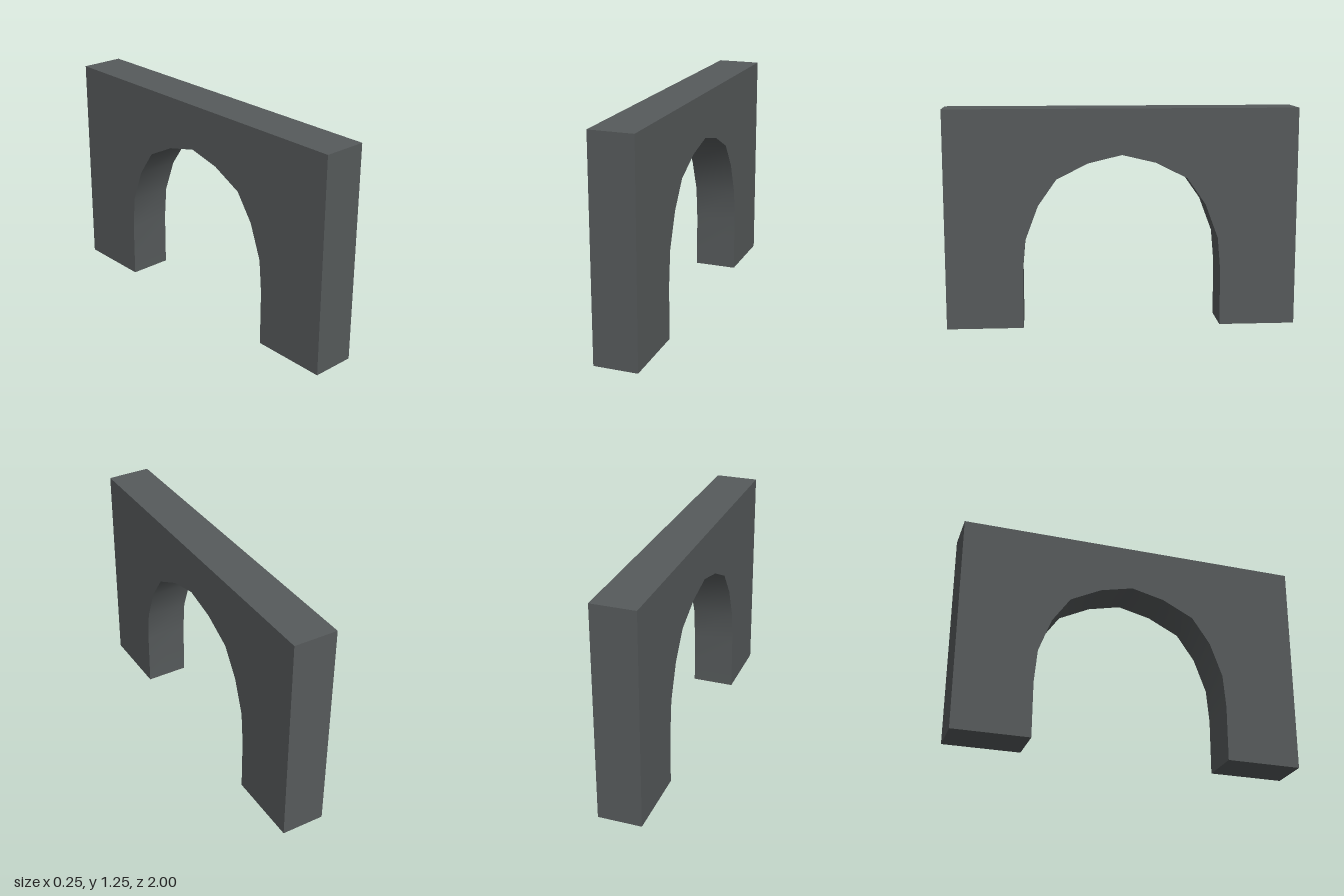
import * as THREE from 'three';
import { toCreasedNormals } from 'three/addons/utils/BufferGeometryUtils.js';

export function createModel() {
  const group = new THREE.Group();
  group.name = 'archway';

  const stone = new THREE.MeshStandardMaterial({ color: 0x565a5b });
  stone.name = 'dark grey stone';

  const halfLength = 1, height = 1.25, thickness = 0.25;

  // Half of the opening, from the foot up to the crown; mirrored for the other half
  const half = [[0.565, 0], [0.565, 0.32], [0.548, 0.51], [0.475, 0.705], [0.37, 0.855], [0.19, 0.945]];
  const mirrored = half.map(([x, y]) => [-x, y]).reverse();
  const outline = [
    [-halfLength, 0], ...half.map(([x, y]) => [-x, y]), [0, 0.99],
    ...mirrored.map(([x, y]) => [-x, y]),
    [halfLength, 0], [halfLength, height], [-halfLength, height],
  ].map(([x, y]) => new THREE.Vector2(x, y));

  // Wall slab, extruded through its thickness and turned to run along z
  const slab = new THREE.ExtrudeGeometry(new THREE.Shape(outline), { depth: thickness, bevelEnabled: false });
  slab.translate(0, 0, -thickness / 2);
  slab.rotateY(Math.PI / 2);

  // Smooth underside of the arch, sharp wall corners
  const wall = new THREE.Mesh(toCreasedNormals(slab, 0.6), stone);
  wall.name = 'archWall';
  group.add(wall);
  return group;
}
